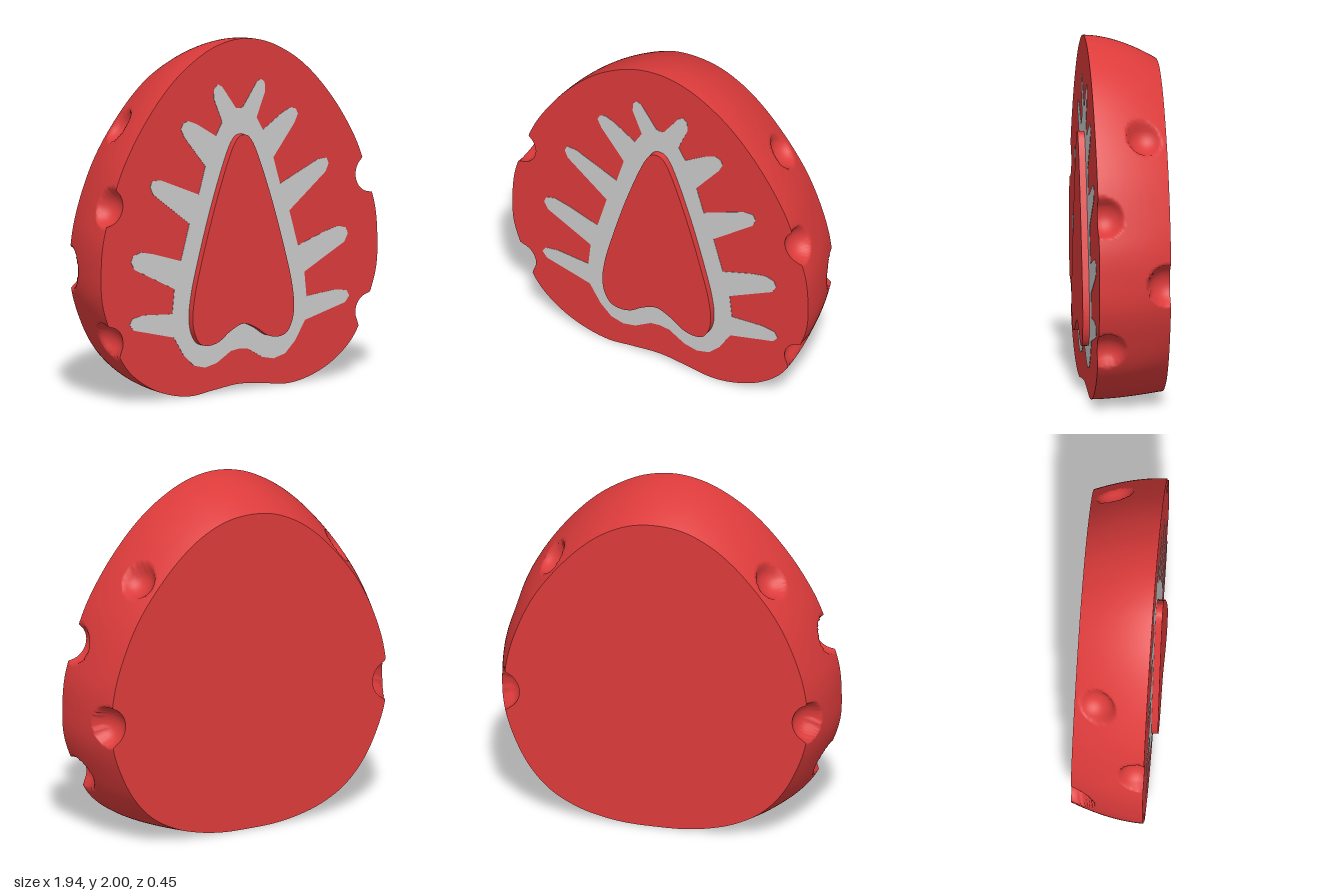
import * as THREE from 'three';

const FRONT = 0.185, BACK = -0.225, AROUND = 442, ROWS = 30;

// Right half outlines, bottom centre to top centre
const frontHalf = [[0, .037], [.18, .02], [.34, .003], [.5, .03], [.66, .1], [.8, .22], [.9, .42], [.96, .6], [.968, .78],
  [.955, .93], [.92, 1.06], [.845, 1.28], [.78, 1.41], [.66, 1.59], [.5, 1.77], [.36, 1.88], [.18, 1.97], [0, 2]];
const backHalf = [[0, .004], [.16, .008], [.31, .03], [.46, .075], [.61, .16], [.73, .29], [.82, .46], [.87, .62], [.88, .77],
  [.865, .92], [.83, 1.06], [.76, 1.24], [.69, 1.37], [.58, 1.52], [.44, 1.67], [.31, 1.77], [.155, 1.84], [0, 1.86]];
const coreHalf = [[0, .385], [.09, .352], [.17, .3], [.24, .285], [.3, .3], [.34, .36], [.355, .45], [.34, .58], [.3, .74],
  [.2, 1.07], [.1, 1.34], [.06, 1.42], [.03, 1.453], [0, 1.46]];
const fleshHalf = [[0, .238], [.06, .23], [.16, .172], [.24, .155], [.32, .175], [.39, .24], [.46, .35],
  [.74, .42], [.77, .455], [.75, .488], [.67, .5], [.47, .485], [.455, .625],
  [.735, .765], [.76, .81], [.745, .845], [.69, .86], [.6, .84], [.41, .78], [.35, .985],
  [.605, 1.18], [.625, 1.225], [.61, 1.258], [.55, 1.255], [.285, 1.145], [.238, 1.3],
  [.385, 1.48], [.41, 1.53], [.395, 1.56], [.36, 1.572], [.3, 1.548], [.165, 1.465], [.12, 1.54],
  [.18, 1.68], [.177, 1.735], [.15, 1.758], [.12, 1.74], [.025, 1.61], [0, 1.605]];

// Seed pits: x, y, z, radius (mirrored to both sides)
const pits = [[.67, 1.56, -.11, .115], [.925, 1.14, .15, .115], [.91, .74, -.215, .12], [.915, .355, .13, .115]];

// Full counter-clockwise outline from its right half
const mirrored = half => [...half, ...half.slice(1, -1).reverse().map(([x, y]) => [-x, y])];
const vectors = half => mirrored(half).map(([x, y]) => new THREE.Vector2(x, y));

function smoothOutline(half, count) {
  const curve = new THREE.CatmullRomCurve3(mirrored(half).map(([x, y]) => new THREE.Vector3(x, y, 0)), true, 'centripetal');
  return Array.from({ length: count }, (_, i) => curve.getPoint(i / count));
}

// Push a surface point inwards to the far wall of any pit that contains it
function carve(p) {
  const inward = new THREE.Vector3(-p.x, .9 - p.y, 0).normalize();
  for (const [x, y, z, r] of pits) {
    const q = p.clone().sub(new THREE.Vector3(Math.sign(p.x) * x, y, z));
    const gap = q.lengthSq() - r * r;
    if (gap >= 0) continue;
    const along = q.dot(inward);
    p.addScaledVector(inward, -along + Math.sqrt(along * along - gap));
  }
  return p;
}

function geometryFrom(points, index) {
  const g = new THREE.BufferGeometry().setFromPoints(points);
  g.setIndex(index);
  g.computeVertexNormals();
  return g;
}

function mesh(name, geometry, material) {
  const m = new THREE.Mesh(geometry, material);
  m.name = name;
  return m;
}

// Flat face closing one end of the body
function capGeometry(ring, z, facingFront) {
  const index = [];
  for (let j = 0; j < AROUND; j++) {
    const k = (j + 1) % AROUND;
    index.push(AROUND, facingFront ? j : k, facingFront ? k : j);
  }
  return geometryFrom([...ring, new THREE.Vector3(0, .9, z)], index);
}

function extruded(shape, z0, z1) {
  const g = new THREE.ExtrudeGeometry(shape, { depth: z1 - z0, bevelEnabled: false, curveSegments: 1 });
  return g.translate(0, 0, z0);
}

export function createModel() {
  const group = new THREE.Group();
  const red = new THREE.MeshStandardMaterial({ color: 0xdd3b3b });
  const grey = new THREE.MeshStandardMaterial({ color: 0xcccccc });

  // Rounded rim, lofted from the front outline to the smaller back outline
  const front = smoothOutline(frontHalf, AROUND), back = smoothOutline(backHalf, AROUND);
  const rings = [];
  for (let i = 0; i <= ROWS; i++) {
    const t = i / ROWS, z = THREE.MathUtils.lerp(FRONT, BACK, t);
    rings.push(front.map((p, j) => carve(p.clone().lerp(back[j], t ** 1.8).setZ(z))));
  }
  const index = [];
  for (let i = 0; i < ROWS; i++) {
    for (let j = 0; j < AROUND; j++) {
      const k = (j + 1) % AROUND;
      const a = i * AROUND + j, b = i * AROUND + k, c = a + AROUND, d = b + AROUND;
      index.push(a, c, b, b, c, d);
    }
  }
  group.add(mesh('pittedRim', geometryFrom(rings.flat(), index), red));
  group.add(mesh('frontFace', capGeometry(rings[0], FRONT, true), red));
  group.add(mesh('backFace', capGeometry(rings[ROWS], BACK, false), red));

  // Pale flesh band with spikes, inlaid in the front face
  const coreOutline = smoothOutline(coreHalf, 130).map(p => new THREE.Vector2(p.x, p.y));
  const flesh = new THREE.Shape(vectors(fleshHalf));
  flesh.holes.push(new THREE.Path(coreOutline));
  group.add(mesh('spikedFlesh', extruded(flesh, FRONT - .01, FRONT + .002), grey));

  // Raised core
  group.add(mesh('raisedCore', extruded(new THREE.Shape(coreOutline), FRONT - .01, .225), red));
  return group;
}
